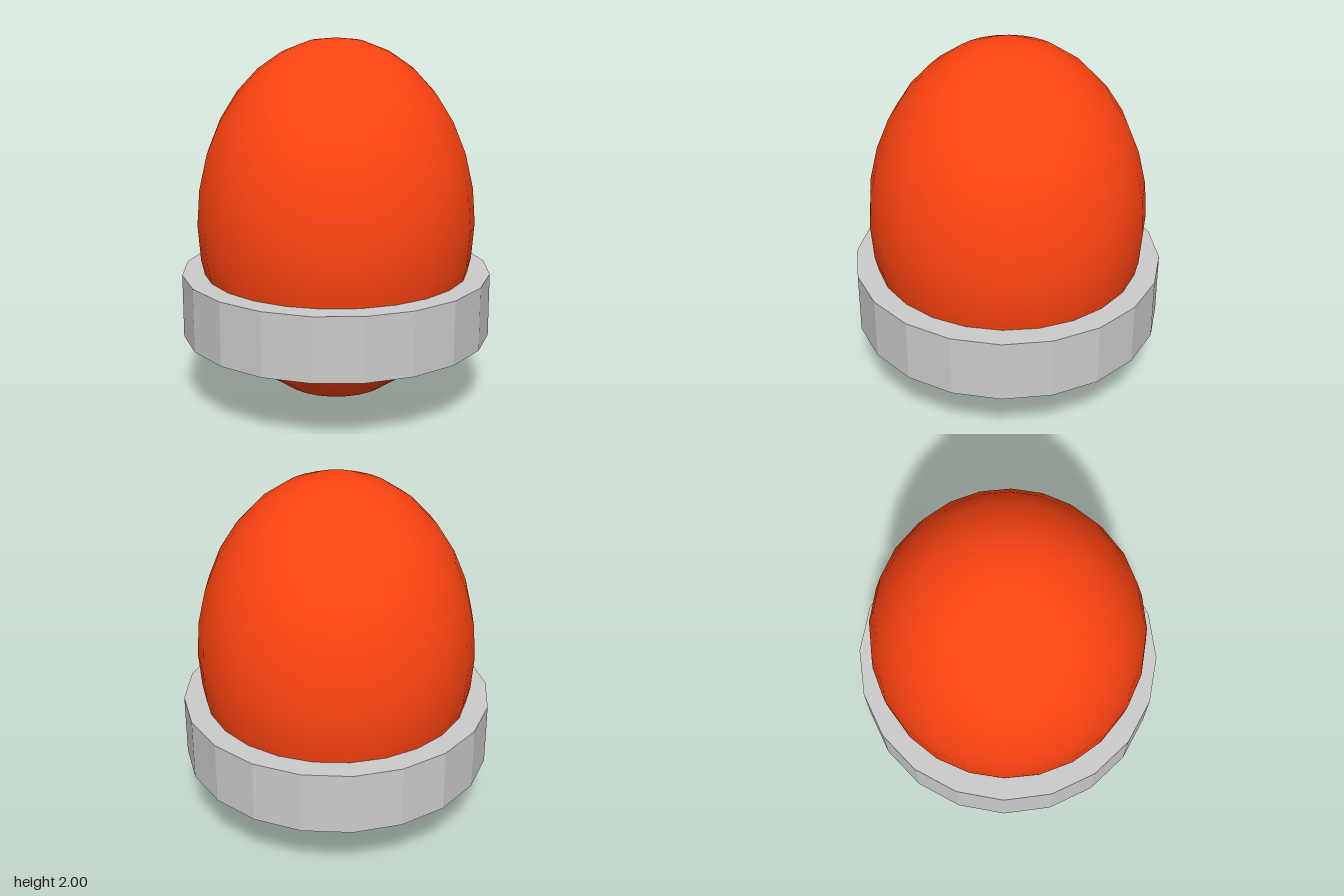
import * as THREE from 'three';

export function createModel() {
  const group = new THREE.Group();

  // Smooth egg-shaped dome
  const domeGeometry = new THREE.SphereGeometry(1, 24, 16);
  domeGeometry.scale(0.76, 1, 0.76);
  const dome = new THREE.Mesh(domeGeometry, new THREE.MeshStandardMaterial({ color: 0xff4411 }));
  dome.name = 'dome';
  dome.position.y = 1;
  group.add(dome);

  // Faceted collar around the lower half
  const collar = new THREE.Mesh(
    new THREE.CylinderGeometry(0.85, 0.85, 0.35, 20),
    new THREE.MeshStandardMaterial({ color: 0xcccccc, flatShading: true })
  );
  collar.name = 'collar';
  collar.position.y = 0.55;
  group.add(collar);

  return group;
}
